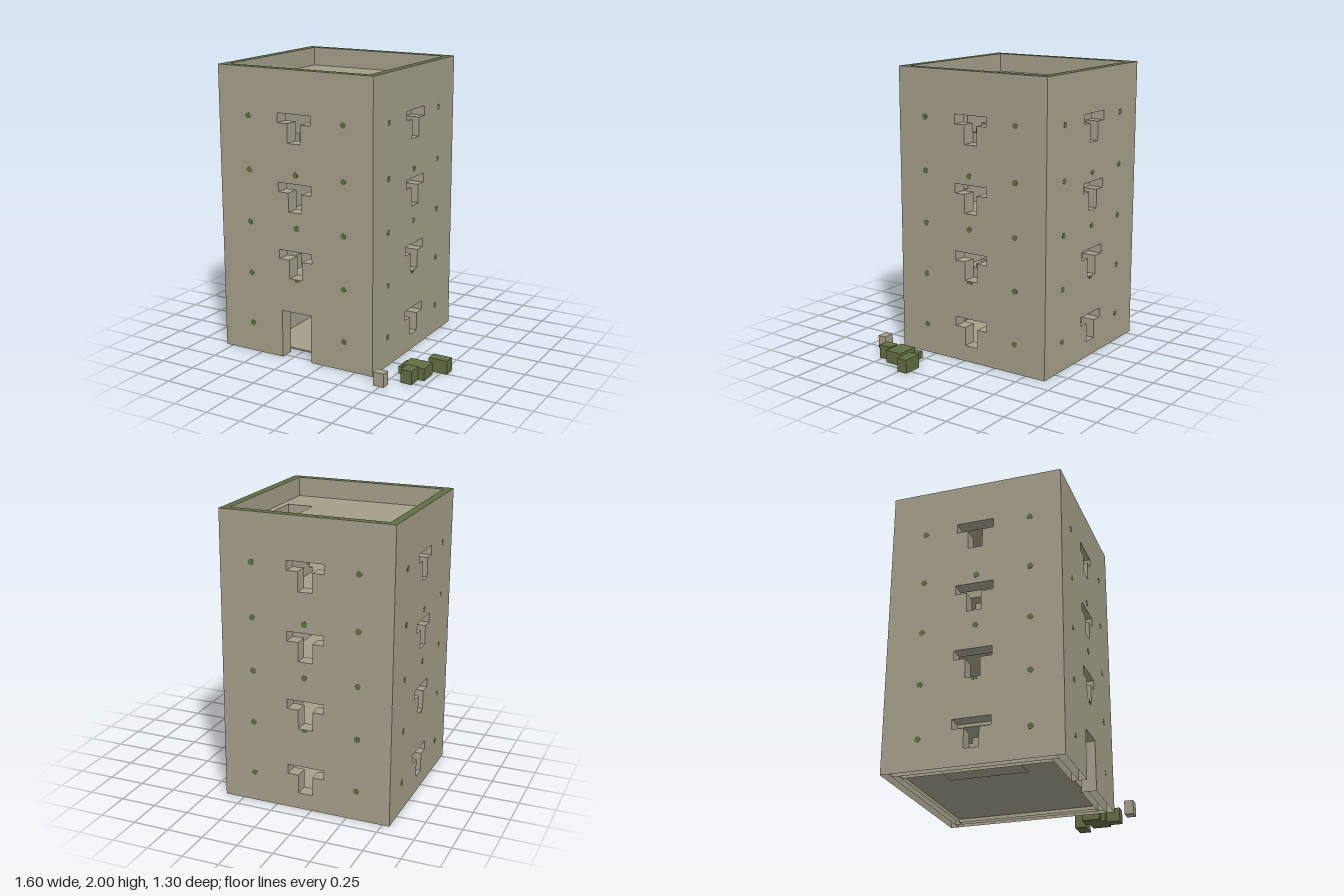
import * as THREE from 'three';

const W = 1.184, H = 2, STOREY = 0.4667, HALF = W / 2;
const T = 0.055, LINING = 0.045; // outer wall and inner lining thickness
const ROOM = HALF - T - LINING, SLAB = 0.1;

export function createModel() {
  const stone = new THREE.MeshStandardMaterial({ color: 0xa49e89, side: THREE.DoubleSide });
  stone.name = 'stone';
  const moss = new THREE.MeshStandardMaterial({ color: 0x616d44 });
  moss.name = 'moss';

  const model = new THREE.Group();
  model.name = 'ruinedTower';
  const tower = new THREE.Group();
  tower.name = 'tower';
  tower.position.set(-0.208, 0, -0.058);
  model.add(tower);

  const add = (parent, name, geometry, material, x = 0, y = 0, z = 0) => {
    const mesh = new THREE.Mesh(geometry, material);
    mesh.name = name;
    mesh.position.set(x, y, z);
    parent.add(mesh);
    return mesh;
  };
  // Box given by its minimum and maximum corners
  const addBox = (parent, name, material, x0, x1, y0, y1, z0, z1) =>
    add(parent, name, new THREE.BoxGeometry(x1 - x0, y1 - y0, z1 - z0), material,
      (x0 + x1) / 2, (y0 + y1) / 2, (z0 + z1) / 2);
  const points = (list) => list.map(([x, y]) => new THREE.Vector2(x, y));
  const rectangle = (x0, x1, y0, y1) => points([[x0, y0], [x1, y0], [x1, y1], [x0, y1]]);

  // T-shaped window opening of one storey
  const windowHole = (storey) => {
    const y = storey * STOREY;
    return new THREE.Path(points([
      [-0.05, y + 0.113], [-0.05, y + 0.244], [-0.128, y + 0.244], [-0.128, y + 0.309],
      [0.128, y + 0.309], [0.128, y + 0.244], [0.05, y + 0.244], [0.05, y + 0.113]]));
  };

  // Hollow wall: the faces resting on the ground are left open
  const openBottom = (geometry) => {
    const p = geometry.attributes.position, kept = [];
    for (let i = 0; i < p.count; i += 3)
      if (Math.max(p.getY(i), p.getY(i + 1), p.getY(i + 2)) > 1e-4) kept.push(i, i + 1, i + 2);
    geometry.clearGroups();
    geometry.setIndex(kept);
    return geometry;
  };

  // Wall with windows, and a doorway cut into the front
  const wallGeometry = (width, height, depth, door) => {
    const w = width / 2;
    const outline = door
      ? points([[-w, 0], [-0.115, 0], [-0.115, 0.34], [0.115, 0.34], [0.115, 0],
        [w, 0], [w, height], [-w, height]])
      : rectangle(-w, w, 0, height);
    const shape = new THREE.Shape(outline);
    for (let i = door ? 1 : 0; i < 4; i++) shape.holes.push(windowHole(i));
    return openBottom(new THREE.ExtrudeGeometry(shape, { depth, bevelEnabled: false }));
  };

  // Four walls around a square of the given half width
  const addWalls = (name, half, height, depth) => {
    const sideGeometry = wallGeometry(2 * (half - depth), height, depth, false).rotateY(Math.PI / 2);
    add(tower, 'front' + name, wallGeometry(2 * half, height, depth, true), stone, 0, 0, half - depth);
    add(tower, 'back' + name, wallGeometry(2 * half, height, depth, false), stone, 0, 0, -half);
    add(tower, 'left' + name, sideGeometry, stone, half - depth);
    add(tower, 'right' + name, sideGeometry, stone, -half);
  };
  addWalls('Wall', HALF, H - 0.001, T);
  addWalls('Lining', HALF - T, 4 * STOREY - 0.01, LINING);

  // Mossy cap along the parapet
  const inner = HALF - T;
  const ring = new THREE.Shape(rectangle(-HALF, HALF, -HALF, HALF));
  ring.holes.push(new THREE.Path(rectangle(-inner, inner, -inner, inner)));
  add(tower, 'parapetMoss', new THREE.ShapeGeometry(ring).rotateX(-Math.PI / 2), moss, 0, H);

  // Floors, each with a stairwell on alternating sides
  addBox(tower, 'groundFloor', stone, -ROOM, ROOM, 0.025, 0.035, -ROOM, ROOM);
  const stairX0 = 0.308, stairX1 = 0.489, run = 0.0425, stairStart = 0.24, steps = 12;
  const stairEnd = stairStart - run * steps;
  for (let i = 1; i <= 4; i++) {
    const f = i === 4 ? inner : ROOM;
    const floor = new THREE.Shape(rectangle(-f, f, -f, f));
    // shape y becomes -z once laid flat
    floor.holes.push(new THREE.Path(rectangle(stairX0, stairX1, -stairStart, -stairEnd)));
    const slab = new THREE.ExtrudeGeometry(floor, { depth: SLAB, bevelEnabled: false });
    slab.rotateX(-Math.PI / 2);
    if (i % 2) slab.rotateY(Math.PI);
    add(tower, i === 4 ? 'roof' : 'floor', slab, stone, 0, i * STOREY - SLAB);
  }

  // Stair flights, turned half round at every storey
  const rise = STOREY / (steps + 1);
  for (let i = 0; i < 4; i++) {
    const flight = new THREE.Group();
    flight.name = 'stairFlight';
    flight.rotation.y = i % 2 ? 0 : Math.PI;
    const base = i ? i * STOREY - 0.02 : 0.02;
    for (let k = 1; k <= steps; k++) {
      const z = stairStart - k * run;
      addBox(flight, 'step', stone, stairX0, stairX1, base, i * STOREY + k * rise, z, z + run);
    }
    tower.add(flight);
  }

  // Small moss patches on all four walls
  const patch = new THREE.CylinderGeometry(0.021, 0.021, 0.003, 9);
  const patchZ = patch.clone().rotateX(Math.PI / 2);
  const patchX = patch.clone().rotateZ(Math.PI / 2);
  [0.205, 0.573, 0.938, 1.303, 1.672].forEach((y, row) => {
    const middle = row === 2 || row === 3;
    for (const s of [-1, 1]) {
      for (const x of middle ? [-0.36, 0.008, 0.373] : [-0.36, 0.373])
        add(tower, 'mossPatch', patchZ, moss, x, y, s * HALF);
      for (const z of middle ? [-0.352, 0.013, 0.378] : [-0.352, 0.378])
        add(tower, 'mossPatch', patchX, moss, s * HALF, y, z);
    }
  });
  // Moss just beneath the second row of windows
  for (const s of [-1, 1]) {
    addBox(tower, 'sillMoss', moss, -0.012, 0.028, 0.56, 0.579, s * HALF - 0.0015, s * HALF + 0.0015);
    addBox(tower, 'sillMoss', moss, s * HALF - 0.0015, s * HALF + 0.0015, 0.56, 0.579, -0.007, 0.033);
  }
  // Moss on the side of the lowest stairs and on top of the highest
  addBox(tower, 'stairMoss', moss, -stairX0, 0.002 - stairX0, 0.19, 0.212, -0.02, 0.035);
  for (const [z, k] of [[0.158, 2], [-0.204, 11]])
    add(tower, 'stairMoss', patch, moss, 0.373, 3 * STOREY + k * rise + 0.001, z);

  // Fallen blocks beside the tower
  const rubble = new THREE.Group();
  rubble.name = 'rubble';
  model.add(rubble);
  addBox(rubble, 'stoneBlock', stone, 0.45, 0.53, 0, 0.095, 0.588, 0.65);
  [[0.505, 0.61, 0.05, 0.273, 0.397], [0.553, 0.712, 0.087, 0.303, 0.427],
    [0.588, 0.668, 0.095, 0.427, 0.522], [0.66, 0.797, 0.095, 0.18, 0.258]]
    .forEach(([x0, x1, h, z0, z1]) => addBox(rubble, 'mossyBlock', moss, x0, x1, 0, h, z0, z1));

  return model;
}
